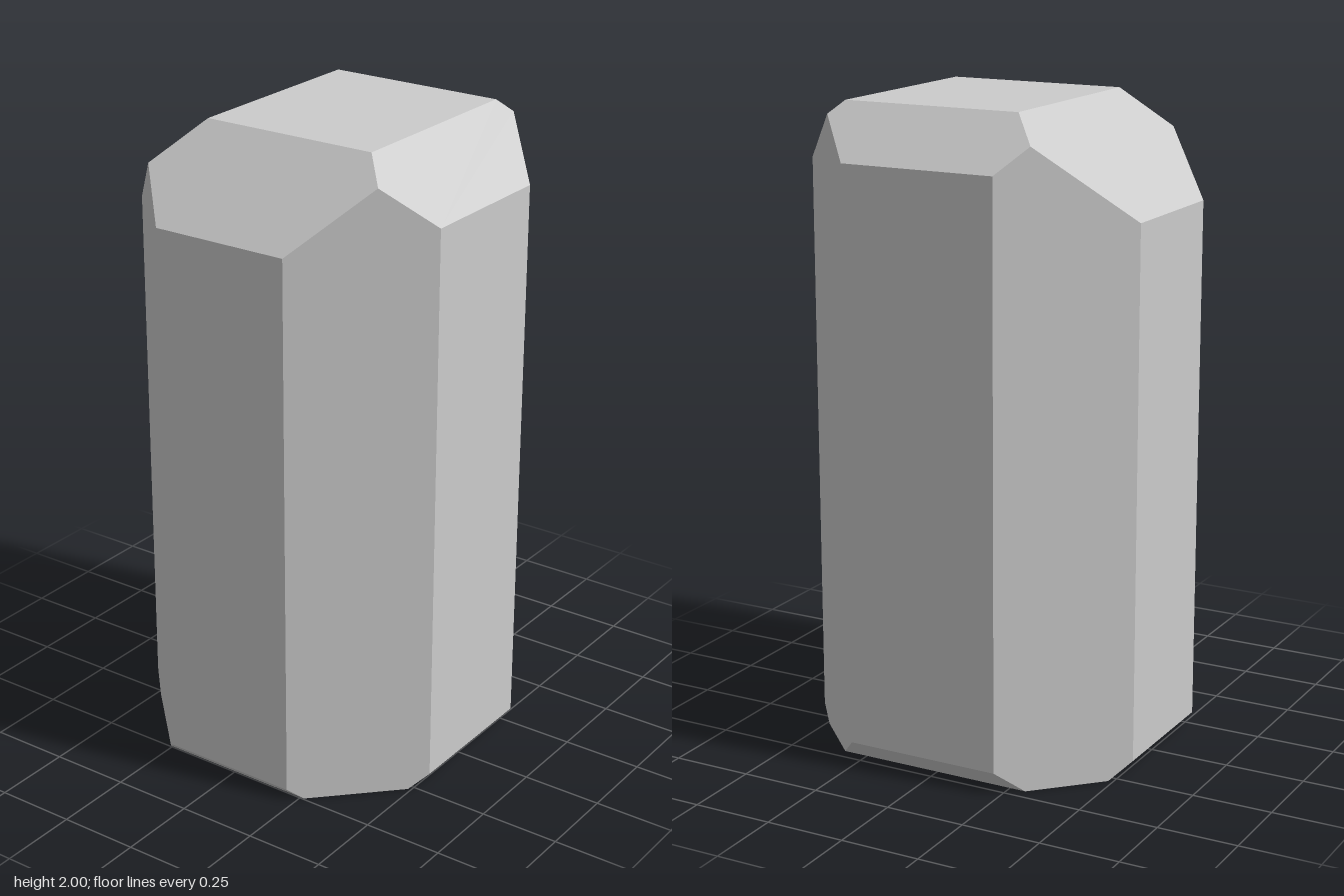
import * as THREE from 'three';

// Solid bounded by planes n·p = d: each face is the fan of corners lying on its plane
function cutSolid(cuts) {
  const planes = cuts.map(([x, y, z, d]) => ({ n: new THREE.Vector3(x, y, z), d }));
  const corners = [];
  for (let i = 0; i < planes.length; i++)
    for (let j = i + 1; j < planes.length; j++)
      for (let k = j + 1; k < planes.length; k++) {
        const [a, b, c] = [planes[i], planes[j], planes[k]];
        const bc = b.n.clone().cross(c.n);
        const det = a.n.dot(bc);
        if (Math.abs(det) < 1e-6) continue;
        const p = bc.multiplyScalar(a.d)
          .addScaledVector(c.n.clone().cross(a.n), b.d)
          .addScaledVector(a.n.clone().cross(b.n), c.d)
          .divideScalar(det);
        const inside = planes.every(({ n, d }) => n.dot(p) <= d + 1e-5);
        if (inside && !corners.some((q) => q.distanceTo(p) < 1e-4)) corners.push(p);
      }

  const positions = [];
  for (const { n, d } of planes) {
    const face = corners.filter((p) => Math.abs(n.dot(p) - d) < 1e-4);
    if (face.length < 3) continue;
    const centre = face.reduce((s, p) => s.add(p), new THREE.Vector3()).divideScalar(face.length);
    const u = face[0].clone().sub(centre).normalize();
    const v = n.clone().normalize().cross(u);
    const angle = (p) => {
      const r = p.clone().sub(centre);
      return Math.atan2(r.dot(v), r.dot(u));
    };
    face.sort((p, q) => angle(p) - angle(q));
    for (let i = 1; i < face.length - 1; i++)
      for (const p of [face[0], face[i], face[i + 1]]) positions.push(p.x, p.y, p.z);
  }
  const geometry = new THREE.BufferGeometry();
  geometry.setAttribute('position', new THREE.Float32BufferAttribute(positions, 3));
  geometry.computeVertexNormals();
  return geometry;
}

export function createModel() {
  const group = new THREE.Group();
  group.name = 'crystal';
  const geometry = cutSolid([
    // flat top and base
    [0, 1, 0, 2], [0, -1, 0, 0],
    // main sides
    [1, 0, 0, 0.53], [-1, 0, 0, 0.533], [0, 0, 1, 0.537], [0, 0, -1, 0.54],
    // vertical corner cuts
    [1, 0, 1, 0.79], [1, 0, -1, 0.762], [-1, 0, 1, 0.758], [-1, 0, -1, 0.753],
    // uneven top bevels
    [1, 1, 0, 2.372], [-1, 1, 0, 2.275], [0, 1, 1, 2.341], [0, 1, -1, 2.229],
    // small bottom bevels
    [1, -1, 0, 0.461], [-1, -1, 0, 0.496], [0, -1, 1, 0.49], [0, -1, -1, 0.485],
  ]);
  const material = new THREE.MeshStandardMaterial({ color: 0xcccccc, flatShading: true });
  const body = new THREE.Mesh(geometry, material);
  body.name = 'crystalBody';
  group.add(body);
  return group;
}
